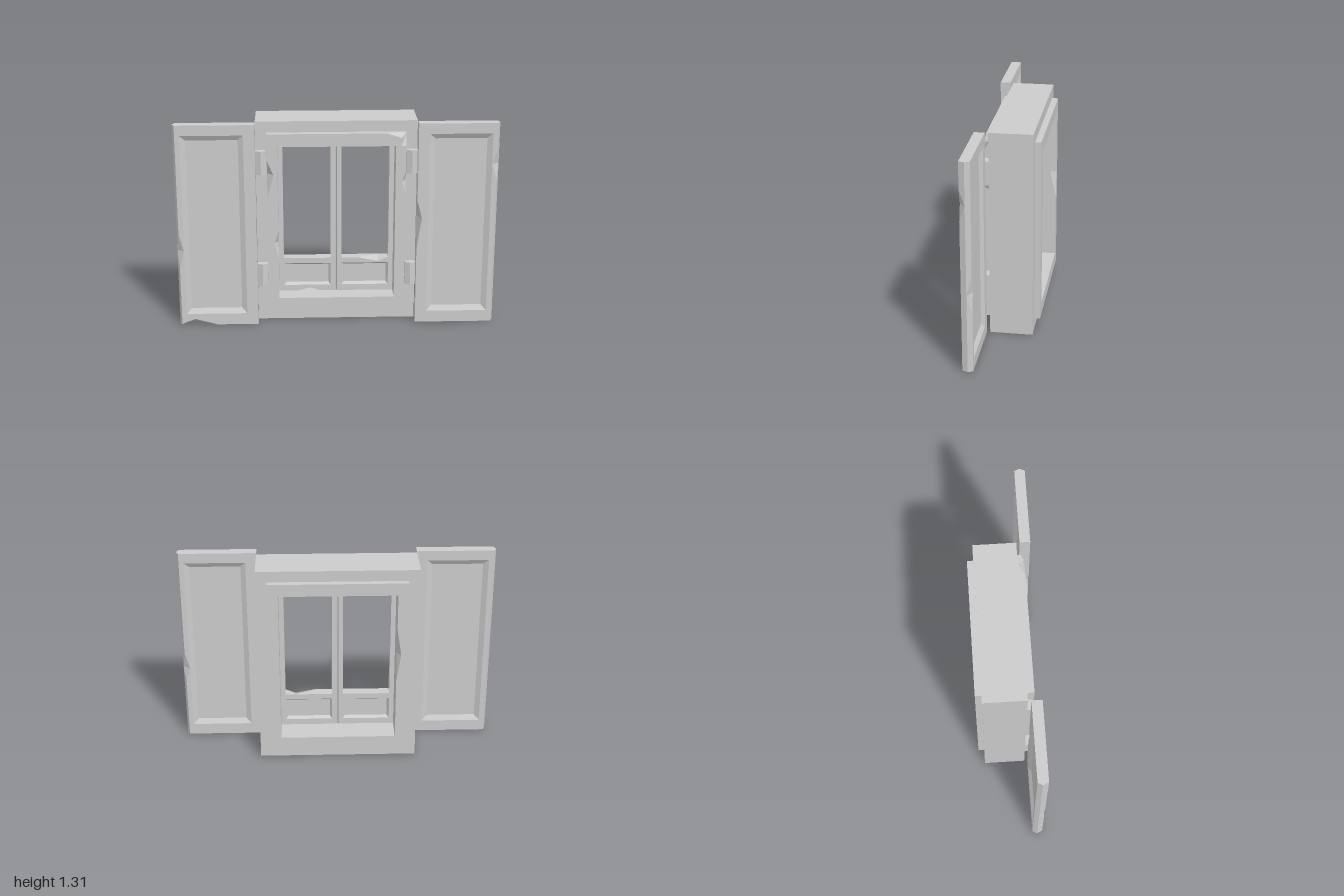
import * as THREE from 'three';

const material = new THREE.MeshStandardMaterial({ color: 0xcccccc, flatShading: true });

function addMesh(parent, name, geometry) {
  const mesh = new THREE.Mesh(geometry, material);
  mesh.name = name;
  parent.add(mesh);
}

function addGroup(parent, name) {
  const group = new THREE.Group();
  group.name = name;
  parent.add(group);
  return group;
}

function fromTriangles(points) {
  const g = new THREE.BufferGeometry().setFromPoints(points);
  g.computeVertexNormals();
  return g;
}

const rect = (a0, a1, z0, z1) => [[a0, z0], [a1, z0], [a1, z1], [a0, z1]];

// Three levels for one chip: only the corner at the middle level is pulled in
const chip = (lo, mid, hi, corner, to) => [[lo], [mid, { [corner]: to }], [hi]];

// Bar lofted along an axis. Each level is [t, {corner: [a, z, dt]}], where the
// listed corners are moved to form chips. s = -1 mirrors the bar in x.
function bar(axis, profile, levels, s = 1) {
  const n = profile.length;
  const rings = levels.map(([t, moved = {}]) => profile.map((p, i) => {
    const [a, z, dt = 0] = moved[i] || p;
    return axis === 'y' ? new THREE.Vector3(s * a, t + dt, z) : new THREE.Vector3(s * (t + dt), a, z);
  }));
  const area = profile.reduce((sum, [a, z], i) => {
    const [b, w] = profile[(i + 1) % n];
    return sum + a * w - b * z;
  }, 0);
  const flip = (area > 0) === (axis === 'y') ? s > 0 : s < 0;
  const out = [];
  const tri = (a, b, c) => (flip ? out.push(a, c, b) : out.push(a, b, c));
  for (let k = 0; k + 1 < rings.length; k++) {
    const m0 = levels[k][1] || {}, m1 = levels[k + 1][1] || {};
    for (let i = 0; i < n; i++) {
      const j = (i + 1) % n;
      const a0 = rings[k][i], b0 = rings[k][j], a1 = rings[k + 1][i], b1 = rings[k + 1][j];
      // keep the diagonal away from a moved corner
      if (m0[i] || m1[j]) { tri(a0, b0, a1); tri(b0, b1, a1); }
      else { tri(a0, b0, b1); tri(a0, b1, a1); }
    }
  }
  const first = rings[0], last = rings[rings.length - 1];
  for (let i = 1; i + 1 < n; i++) {
    tri(first[0], first[i + 1], first[i]);
    tri(last[0], last[i], last[i + 1]);
  }
  return fromTriangles(out);
}

// Sunken panel: four sloped sides down to a flat floor; dir is the facing in z
function tray(x0, x1, y0, y1, zRim, depth, inset, dir) {
  const ring = (d, z) => [[x0 + d, y0 + d], [x1 - d, y0 + d], [x1 - d, y1 - d], [x0 + d, y1 - d]]
    .map(([x, y]) => new THREE.Vector3(x, y, z));
  const o = ring(0, zRim), f = ring(inset, zRim - dir * depth), out = [];
  const quad = (a, b, c, d) => (dir > 0 ? out.push(a, b, c, a, c, d) : out.push(a, c, b, a, d, c));
  for (let i = 0; i < 4; i++) quad(o[i], o[(i + 1) % 4], f[(i + 1) % 4], f[i]);
  quad(...f);
  return fromTriangles(out);
}

// Deep wall box with the window opening
function wallFrame() {
  const shape = new THREE.Shape([[-0.5, 0], [0.5, 0], [0.5, 1.31], [-0.5, 1.31]].map(p => new THREE.Vector2(...p)));
  shape.holes.push(new THREE.Path([[-0.365, 0.16], [-0.365, 1.16], [0.365, 1.16], [0.365, 0.16]].map(p => new THREE.Vector2(...p))));
  return new THREE.ExtrudeGeometry(shape, { depth: 0.265, bevelEnabled: false }).translate(0, 0, -0.155);
}

// Flat trim around the opening
function casing(parent, name, z0, z1, topLevels, leftLevels, rightLevels) {
  const g = addGroup(parent, name);
  const jamb = rect(0.365, 0.43, z0, z1);
  addMesh(g, 'casingTop', bar('x', rect(1.16, 1.24, z0, z1), [[-0.43], ...topLevels]));
  addMesh(g, 'casingBottom', bar('x', rect(0.08, 0.16, z0, z1), [[-0.43], [0.43]]));
  addMesh(g, 'casingLeftJamb', bar('y', jamb, [[0.16], ...leftLevels, [1.16]]));
  addMesh(g, 'casingRightJamb', bar('y', jamb, [[0.16], ...rightLevels, [1.16]], -1));
}

// Sash with one tall opening above a small sunken panel
function sash(parent, name, s, bottomChip, middleChip) {
  const g = addGroup(parent, name), z0 = -0.03, z1 = 0.035;
  const meeting = [[0, -0.015], [0.007, z0], [0.035, z0], [0.035, z1], [0.007, z1], [0, 0.02]];
  addMesh(g, 'meetingStile', bar('y', meeting, [[0.16], [1.16]], s));
  addMesh(g, 'outerStile', bar('y', rect(0.335, 0.365, z0, z1), [[0.16], [1.16]], s));
  [['bottomRail', 0.16, 0.2, bottomChip], ['middleRail', 0.35, 0.385, middleChip], ['topRail', 1.125, 1.16, []]]
    .forEach(([part, y0, y1, chips]) =>
      addMesh(g, part, bar('x', rect(y0, y1, z0, z1), [[0.035], ...chips, [0.335]], s)));
  const [x0, x1] = s > 0 ? [0.035, 0.335] : [-0.335, -0.035];
  addMesh(g, 'panelFront', tray(x0, x1, 0.2, 0.35, z1, 0.02, 0.014, 1));
  addMesh(g, 'panelBack', tray(x0, x1, 0.2, 0.35, z0, 0.02, 0.014, -1));
}

// Open shutter with a sunken panel on both faces and two hinges
function shutter(parent, name, s, { outer, inner, bottom }) {
  const g = addGroup(parent, name), z0 = 0.13, z1 = 0.195, H = 1.31;
  const edge = [[0.955, z0], [0.985, z0], [1, 0.16], [0.985, z1], [0.955, z1]];
  addMesh(g, 'outerStile', bar('y', edge, [...outer, [H]], s));
  addMesh(g, 'innerStile', bar('y', rect(0.5, 0.57, z0, z1), [[0], ...inner, [H]], s));
  addMesh(g, 'bottomRail', bar('x', rect(0, 0.075, z0, z1), [[0.57], ...bottom], s));
  addMesh(g, 'topRail', bar('x', rect(1.245, H, z0, z1), [[0.57], [0.955]], s));
  const [x0, x1] = s > 0 ? [0.57, 0.955] : [-0.955, -0.57];
  addMesh(g, 'panelFront', tray(x0, x1, 0.075, 1.245, z1, 0.02, 0.033, 1));
  addMesh(g, 'panelBack', tray(x0, x1, 0.075, 1.245, z0, 0.02, 0.033, -1));
  const hinge = [[0.435, 0.11], [0.5, 0.11], [0.5, 0.14], [0.467, 0.156], [0.435, 0.14]];
  for (const y of [0.24, 0.98]) addMesh(g, 'hinge', bar('y', hinge, [[y], [y + 0.15]], s));
}

export function createModel() {
  const model = new THREE.Group();
  model.name = 'shutteredWindow';
  addMesh(model, 'wallFrame', wallFrame());

  // Front trim with a broken top corner and chipped jambs
  casing(model, 'frontCasing', 0.11, 0.155,
    [[0.31], [0.4, { 2: [1.21, 0.155] }], [0.43, { 2: [1.235, 0.115] }]],
    chip(0.85, 0.93, 1.0, 2, [0.405, 0.155]),
    [...chip(0.44, 0.53, 0.61, 3, [0.39, 0.155]), ...chip(0.83, 0.98, 1.07, 2, [0.39, 0.155])]);
  // Back trim, chipped on one inner edge
  casing(model, 'backCasing', -0.193, -0.155, [[0.43]], [],
    chip(0.57, 0.75, 0.93, 0, [0.392, -0.193]));

  sash(model, 'leftSash', 1, [], chip(0.14, 0.27, 0.33, 2, [0.36, 0.035]));
  sash(model, 'rightSash', -1, chip(0.1, 0.17, 0.25, 3, [0.18, 0.035]), []);

  shutter(model, 'leftShutter', 1, {
    outer: [[0], ...chip(0.39, 0.5, 0.61, 1, [0.955, 0.13]), ...chip(0.95, 1.05, 1.14, 3, [0.957, 0.195])],
    inner: chip(0.5, 0.7, 0.82, 3, [0.53, 0.195]),
    bottom: [[0.955]],
  });
  shutter(model, 'rightShutter', -1, {
    outer: [[0, { 3: [0.985, 0.195, 0.005], 4: [0.955, 0.195, 0.02] }], ...chip(0.38, 0.5, 0.61, 3, [0.957, 0.195])],
    inner: chip(0.5, 0.66, 0.82, 0, [0.53, 0.13]),
    bottom: [[0.76], [0.9, { 3: [0.04, 0.195] }], [0.955, { 3: [0.02, 0.195] }]],
  });
  return model;
}
